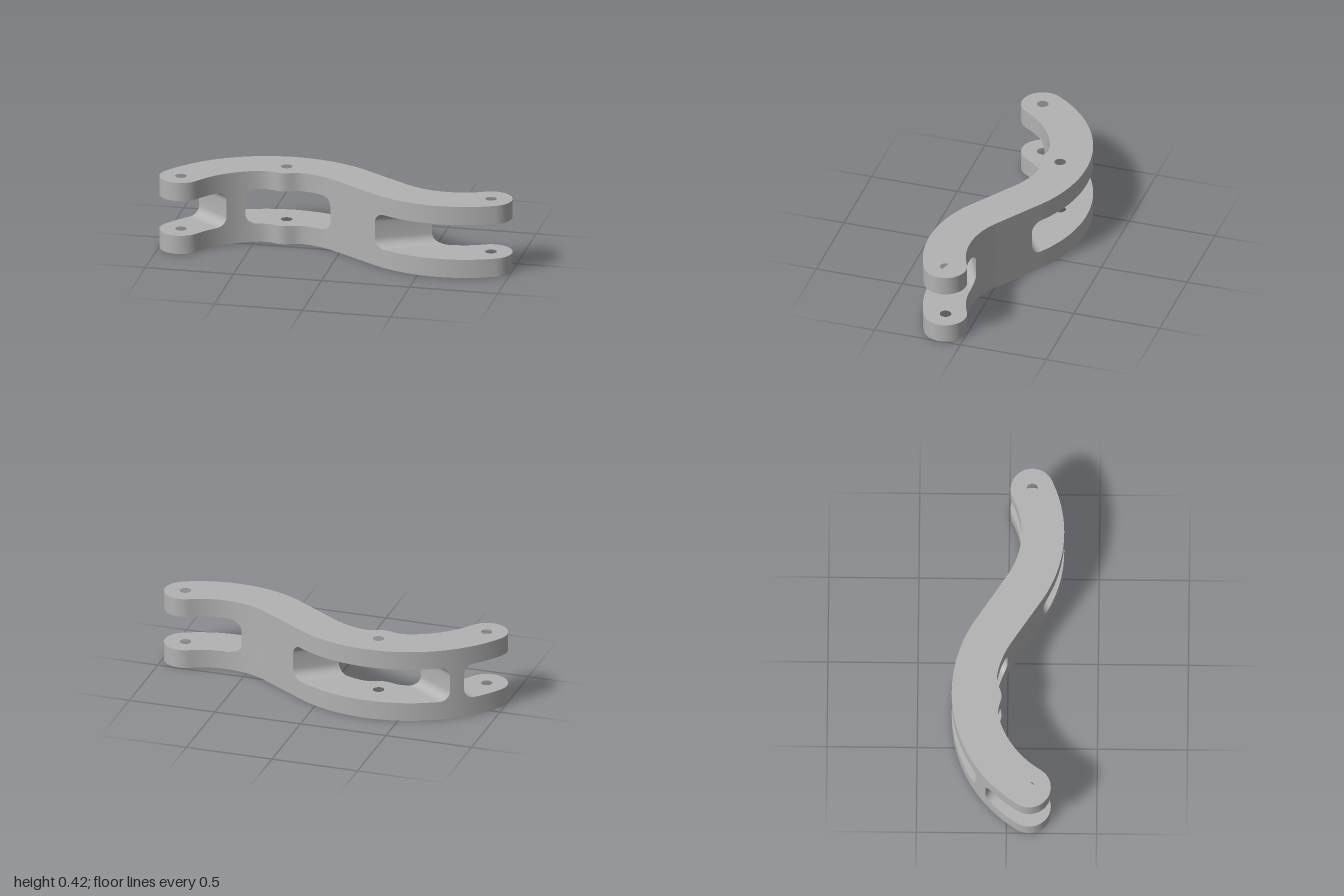
import * as THREE from 'three';
import { toCreasedNormals } from 'three/addons/utils/BufferGeometryUtils.js';

const PLATE = 0.107, HEIGHT = 0.418, FILLET = 0.058;
const END_X = 0.88, END_Z = 0.125, END_R = 0.12, HOLE_R = 0.032;

// S-shaped side: arc about (-0.32, z1), tangent line, opposite arc about (0.62, z2)
function sCurve(z1, r1, z2, r2) {
  const dx = 0.94, dz = z2 - z1;
  const a = Math.atan2(dz, dx) - Math.acos((r1 + r2) / Math.hypot(dx, dz));
  const p = [-0.32 + r1 * Math.cos(a), z1 + r1 * Math.sin(a)];
  const q = [0.62 - r2 * Math.cos(a), z2 - r2 * Math.sin(a)];
  return (x) => {
    if (x < p[0]) return z1 - Math.sqrt(r1 * r1 - (x + 0.32) ** 2);
    if (x > q[0]) return z2 + Math.sqrt(r2 * r2 - (x - 0.62) ** 2);
    return p[1] + ((q[1] - p[1]) * (x - p[0])) / (q[0] - p[0]);
  };
}
const back = sCurve(0.465, 0.775, -0.38, 0.448);
const frontArc = sCurve(0.465, 0.535, -0.408, 0.713);
// small swelling beside the middle hole
const front = (x) => frontArc(x) + 0.036 * Math.exp(-(((x + 0.34) / 0.07) ** 2));

// Plan outline with three pin holes
function plateShape() {
  const pts = [];
  const add = (x, z) => pts.push(new THREE.Vector2(x, -z));
  const run = (f, x0, x1, n) => {
    for (let i = 0; i <= n; i++) {
      const x = x0 + ((x1 - x0) * i) / n;
      add(x, f(x));
    }
  };
  const lobe = (cx, a0, a1) => {
    for (let i = 1; i < 24; i++) {
      const a = THREE.MathUtils.degToRad(a0 + ((a1 - a0) * i) / 24);
      add(cx + END_R * Math.cos(a), END_Z + END_R * Math.sin(a));
    }
  };
  run(back, -0.983, 0.825, 90);
  lobe(END_X, -117, 64);
  run(front, 0.933, -0.777, 90);
  lobe(-END_X, 31, 211);
  const shape = new THREE.Shape(pts);
  for (const [x, z] of [[-END_X, END_Z], [-0.34, -0.15], [END_X, END_Z]]) {
    shape.holes.push(new THREE.Path().absarc(x, -z, HOLE_R, 0, Math.PI * 2, true));
  }
  return shape;
}

// Slides one end face of a web outwards by d, keeping its corners on the sides
function slideFace([xf, xb], side, d) {
  const n = new THREE.Vector2(front(xf) - back(xb), xb - xf).normalize();
  if (n.x * side < 0) n.negate();
  const slide = (f, x) => {
    const slope = (f(x + 0.005) - f(x - 0.005)) / 0.01;
    return x + d / (n.x + n.y * slope);
  };
  return [slide(front, xf), slide(back, xb)];
}

// Upright web joining the plates, flaring into them with fillets
function webGeometry(leftFace, rightFace) {
  const levels = [], STEPS = 8, N = 16;
  for (let i = 0; i <= STEPS; i++) {
    const a = (i / STEPS) * Math.PI / 2;
    levels.push([PLATE + FILLET * (1 - Math.cos(a)), FILLET * (1 - Math.sin(a))]);
  }
  for (let i = STEPS; i >= 0; i--) levels.push([HEIGHT - levels[i][0], levels[i][1]]);

  const pos = [], index = [], ring = 2 * (N + 1);
  levels.forEach(([y, d], k) => {
    const [fl, bl] = slideFace(leftFace, -1, d);
    const [fr, br] = slideFace(rightFace, 1, d);
    for (let i = 0; i <= N; i++) {
      const x = fl + ((fr - fl) * i) / N;
      pos.push(x, y, front(x));
    }
    for (let i = 0; i <= N; i++) {
      const x = br + ((bl - br) * i) / N;
      pos.push(x, y, back(x));
    }
    if (k === 0) return;
    for (let j = 0; j < ring; j++) {
      const a = (k - 1) * ring + j, b = (k - 1) * ring + ((j + 1) % ring);
      index.push(a, b, b + ring, a, b + ring, a + ring);
    }
  });
  const g = new THREE.BufferGeometry();
  g.setAttribute('position', new THREE.Float32BufferAttribute(pos, 3));
  g.setIndex(index);
  return toCreasedNormals(g, 0.6);
}

export function createModel() {
  const group = new THREE.Group();
  group.name = 'curvedLinkArm';
  const metal = new THREE.MeshStandardMaterial({ color: 0xb2b2b2 });
  metal.name = 'grey metal';
  const add = (name, geometry, y = 0) => {
    const mesh = new THREE.Mesh(geometry, metal);
    mesh.name = name;
    mesh.position.y = y;
    group.add(mesh);
  };

  // Two matching plates
  const plate = new THREE.ExtrudeGeometry(plateShape(), {
    depth: PLATE, bevelEnabled: false, curveSegments: 20,
  });
  plate.rotateX(-Math.PI / 2);
  const smoothPlate = toCreasedNormals(plate, 0.6);
  add('lowerPlate', smoothPlate);
  add('upperPlate', smoothPlate, HEIGHT - PLATE);

  // Webs, each face given as [x at the front side, x at the back side]
  add('endWeb', webGeometry([-0.64, -0.83], [-0.545, -0.765]));
  add('middleWeb', webGeometry([-0.06, 0.16], [0.235, 0.53]));
  return group;
}
